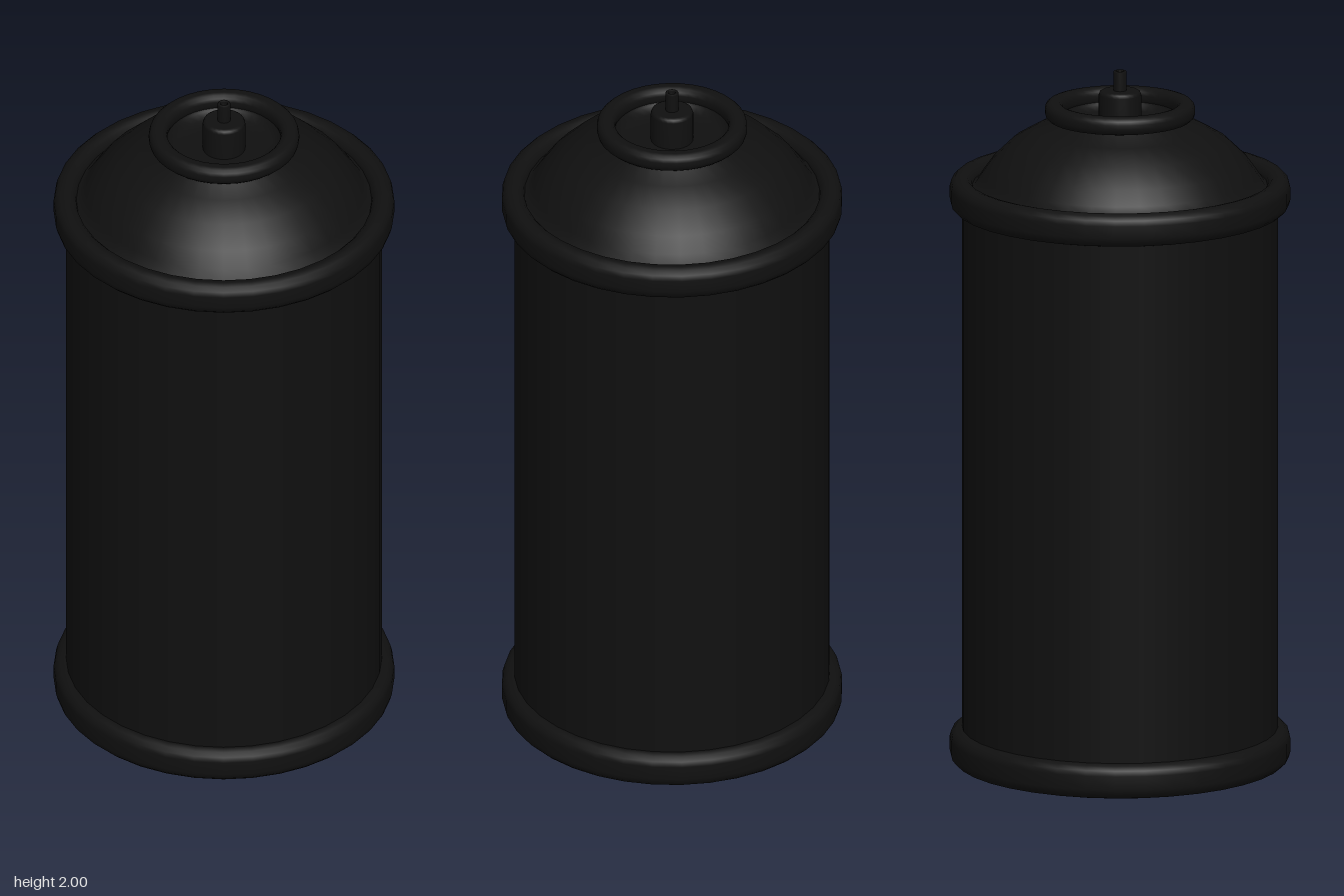
import * as THREE from 'three';

const SIDES = 36;

export function createModel() {
  const group = new THREE.Group();
  const material = new THREE.MeshStandardMaterial({ color: 0x101010 });

  // Turned part; profile runs from the underside outward and up
  const turn = (name, profile, sides = SIDES) => {
    const pts = profile.map(([r, y]) => new THREE.Vector2(r, y));
    const mesh = new THREE.Mesh(new THREE.LatheGeometry(pts, sides), material);
    mesh.name = name;
    group.add(mesh);
  };

  // Closed rolled band with rounded corners
  const band = (name, rIn, rOut, y0, y1, bevel) => {
    const corners = [
      [rOut - bevel, y0 + bevel, -90], [rOut - bevel, y1 - bevel, 0],
      [rIn + bevel, y1 - bevel, 90], [rIn + bevel, y0 + bevel, 180],
    ];
    const profile = [];
    for (const [r, y, start] of corners) {
      for (let i = 0; i <= 3; i++) {
        const a = THREE.MathUtils.degToRad(start + i * 30);
        profile.push([r + bevel * Math.cos(a), y + bevel * Math.sin(a)]);
      }
    }
    profile.push(profile[0]);
    turn(name, profile);
  };

  // Can wall and its two rolled seams
  turn('body', [[0.445, 0.05], [0.445, 1.65]]);
  band('bottomSeam', 0.415, 0.48, 0, 0.1, 0.03);
  band('topSeam', 0.415, 0.48, 1.6, 1.695, 0.03);

  // Inward-domed base
  turn('base', [[0, 0.1], [0.12, 0.094], [0.24, 0.078], [0.34, 0.055], [0.43, 0.025]]);

  // Domed shoulder
  turn('shoulder', [[0.44, 1.665], [0.41, 1.67], [0.39, 1.7], [0.36, 1.742], [0.305, 1.795],
    [0.24, 1.833], [0.17, 1.864], [0.165, 1.88]]);

  // Valve cup: rolled lip and sunken floor
  band('cupLip', 0.16, 0.212, 1.86, 1.912, 0.02);
  turn('cupFloor', [[0.168, 1.89], [0.16, 1.865], [0.14, 1.852], [0.1, 1.848], [0, 1.848]]);

  // Valve boss with a softened top edge
  turn('valveBoss', [[0.06, 1.845], [0.06, 1.932], [0.057, 1.94], [0.05, 1.944], [0, 1.944]], 24);

  // Hollow valve stem
  turn('valveStem', [[0.019, 1.94], [0.019, 1.997], [0.017, 2], [0.011, 2], [0.01, 1.997],
    [0.01, 1.96], [0, 1.96]], 12);

  return group;
}
